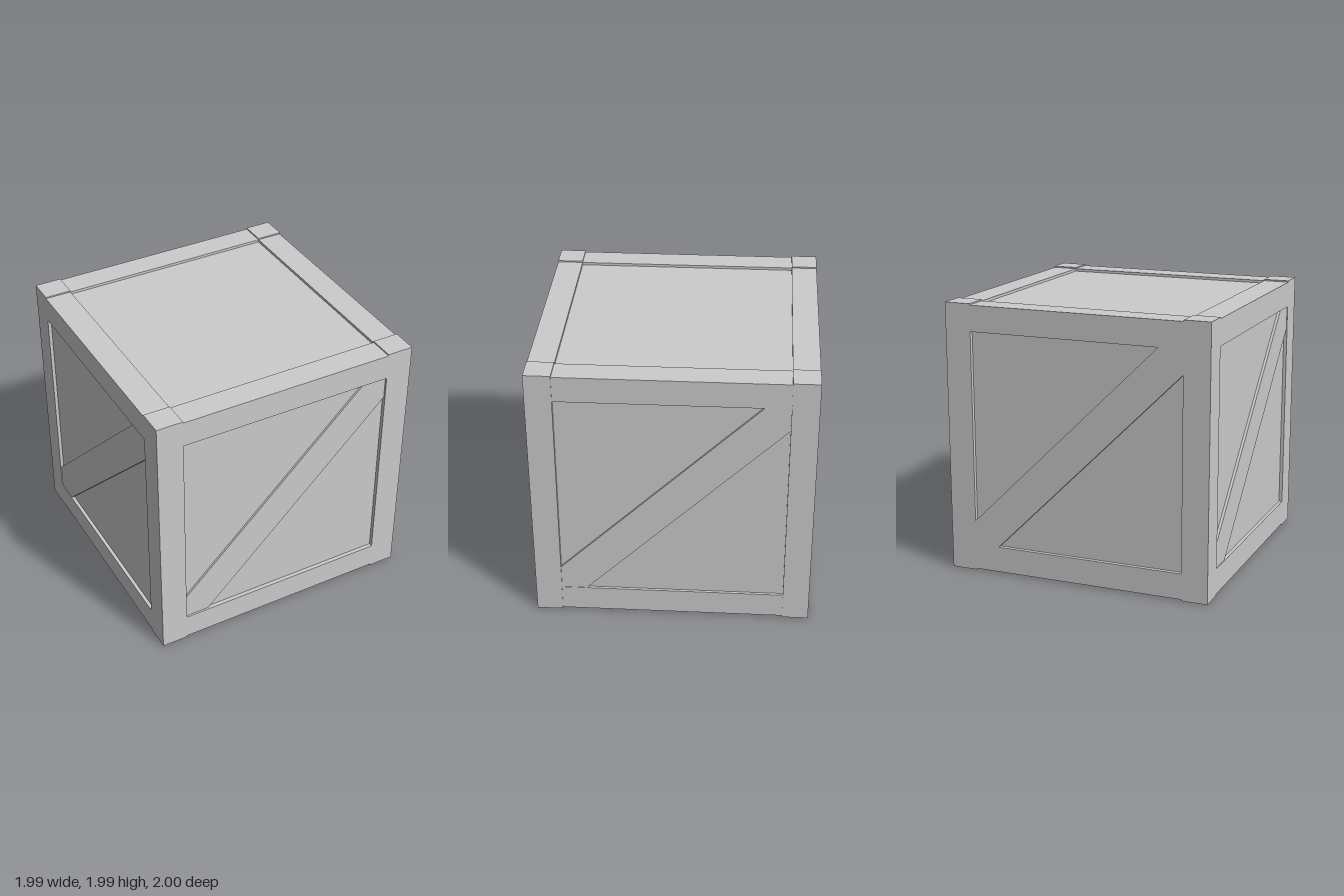
import * as THREE from 'three';

export function createModel() {
  const crate = new THREE.Group();
  crate.name = 'crate';
  const material = new THREE.MeshStandardMaterial({ color: 0xcccccc, flatShading: true });

  // Outer half sizes, and the inner edges of the frame
  const X = 0.995, Z = 1, inX = 0.8, inZ = 0.81;
  const height = 1.985, railLow = 0.01, railHigh = 1.975, openLow = 0.2, openHigh = 1.785;

  // Box given by its two opposite corners
  function block(name, x0, x1, y0, y1, z0, z1) {
    const mesh = new THREE.Mesh(new THREE.BoxGeometry(x1 - x0, y1 - y0, z1 - z0), material);
    mesh.position.set((x0 + x1) / 2, (y0 + y1) / 2, (z0 + z1) / 2);
    mesh.name = name;
    crate.add(mesh);
  }

  // Recessed panels on all six sides
  block('panels', -0.97, 0.97, 0.03, 1.955, -0.97, 0.97);

  // Corner posts, standing slightly proud at top and bottom
  for (const sx of [-1, 1]) for (const sz of [-1, 1]) {
    const cx = sx * (X + inX) / 2, cz = sz * (Z + inZ) / 2;
    const hx = (X - inX) / 2, hz = (Z - inZ) / 2;
    block('cornerPost', cx - hx, cx + hx, 0, height, cz - hz, cz + hz);
  }

  // Horizontal rails between the posts
  for (const [y0, y1] of [[railLow, openLow], [openHigh, railHigh]]) {
    block('frontRail', -inX, inX, y0, y1, inZ, Z);
    block('backRail', -inX, inX, y0, y1, -Z, -inZ);
    block('leftRail', inX, X - 0.005, y0, y1, -inZ, inZ);
    block('rightRail', -X, -inX, y0, y1, -inZ, inZ);
  }

  // Diagonal braces, cut to fit the opening on each upright side
  function brace(name, half, outer, angle) {
    const shape = new THREE.Shape([
      [-half, openLow], [-half + 0.185, openLow], [half, openHigh - 0.175],
      [half, openHigh], [half - 0.18, openHigh], [-half, openLow + 0.18],
    ].map(([x, y]) => new THREE.Vector2(x, y)));
    const depth = 0.1;
    const geometry = new THREE.ExtrudeGeometry(shape, { depth, bevelEnabled: false });
    geometry.translate(0, 0, outer - depth);
    const mesh = new THREE.Mesh(geometry, material);
    mesh.rotation.y = angle;
    mesh.name = name;
    crate.add(mesh);
  }
  brace('frontBrace', inX, Z - 0.015, 0);
  brace('leftBrace', inZ, X - 0.008, Math.PI / 2);
  brace('backBrace', inX, Z, Math.PI);
  brace('rightBrace', inZ, X - 0.005, -Math.PI / 2);

  return crate;
}
